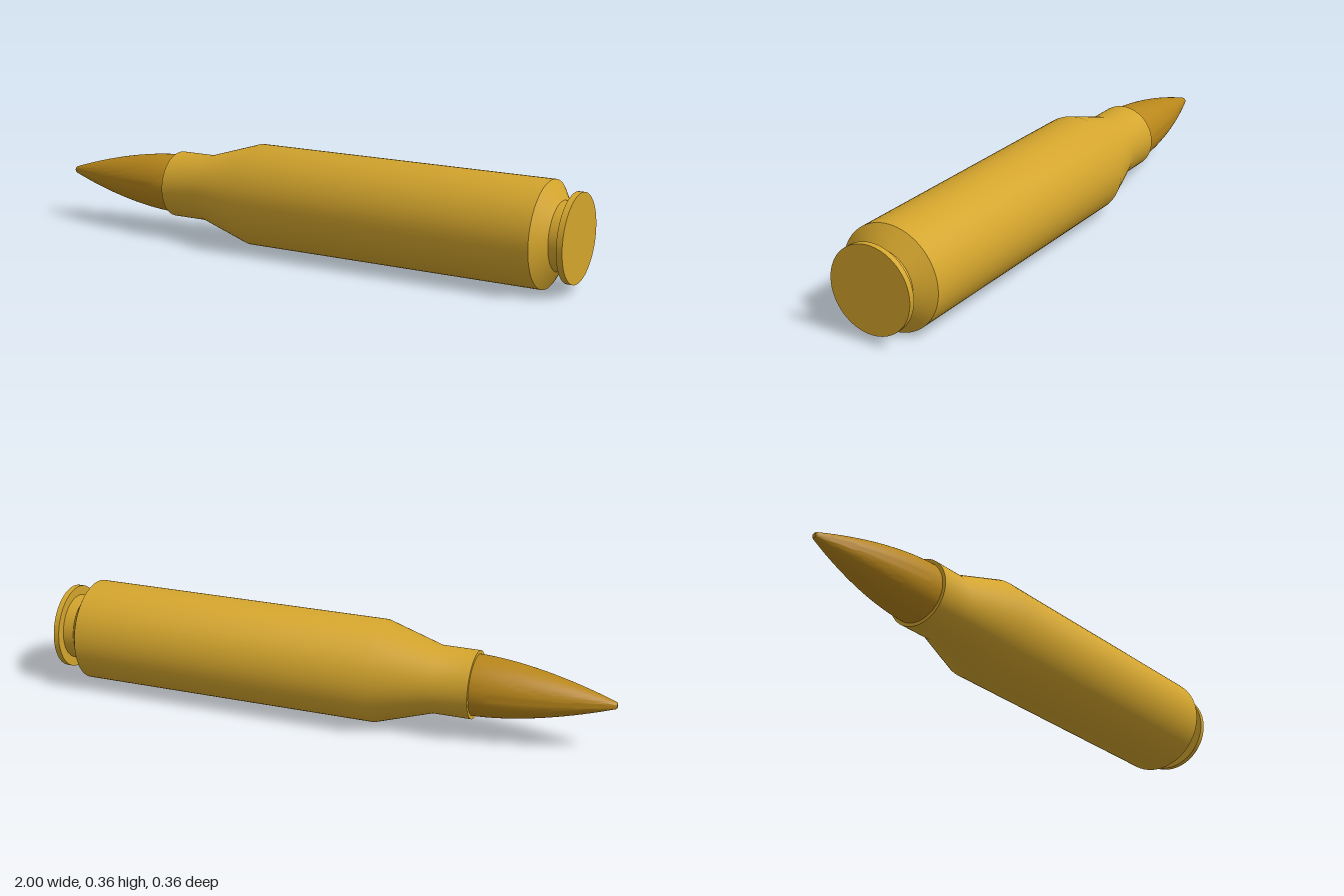
import * as THREE from 'three';
import { toCreasedNormals } from 'three/addons/utils/BufferGeometryUtils.js';

const SIDES = 64;
const AXIS_Y = 0.179;

// Turned part from [x, radius] pairs, listed from the base (+x) to the tip (-x).
function turned(name, profile, color) {
  const points = profile.map(([x, r]) => new THREE.Vector2(r, -x));
  const geometry = toCreasedNormals(new THREE.LatheGeometry(points, SIDES), 0.5);
  geometry.rotateZ(Math.PI / 2);
  const mesh = new THREE.Mesh(geometry, new THREE.MeshStandardMaterial({ color }));
  mesh.name = name;
  mesh.position.y = AXIS_Y;
  return mesh;
}

export function createModel() {
  const group = new THREE.Group();
  group.name = 'cartridge';

  // Case: rim, extractor groove, bevel, body, shoulder, neck and mouth
  group.add(turned('case', [
    [1, 0], [1, 0.148], [0.98, 0.148], [0.98, 0.115], [0.94, 0.115],
    [0.9, 0.178], [-0.19, 0.178], [-0.39, 0.117], [-0.525, 0.117], [-0.525, 0.1],
  ], 0xd4a52d));

  // Bullet: curved nose with a small blunt tip, seated in the neck
  const nose = [[-0.4, 0.105]];
  const steps = 20;
  for (let i = steps; i >= 0; i--) {
    const t = i / steps;
    nose.push([-0.996 + 0.471 * t, 0.012 + 0.093 * (1 - Math.pow(1 - t, 1.7))]);
  }
  nose.push([-1, 0.008], [-1, 0]);
  group.add(turned('bullet', nose, 0xb8861a));

  return group;
}
